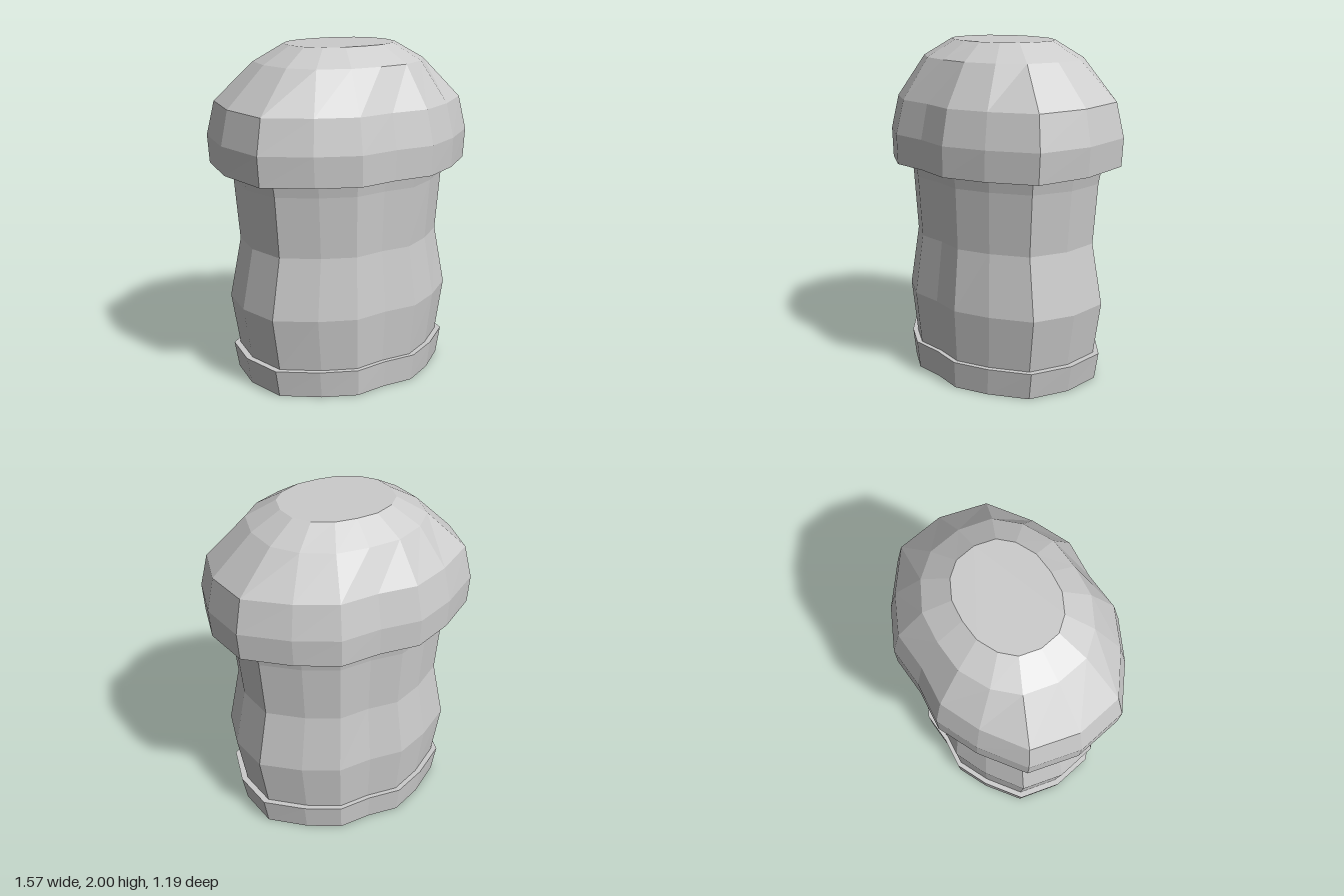
import * as THREE from 'three';

// One quadrant of the unit outline: squarish for the walls, rounder near the crown
const WALL = [[1, 0], [0.924, 0.505], [0.612, 0.81], [0.306, 1], [0, 0.97]];
const CROWN = [[1, 0], [0.93, 0.45], [0.715, 0.75], [0.375, 0.96], [0, 1]];

// Mirror a quadrant into a closed 16-sided outline
function outline(q) {
  const pts = [];
  for (let i = 0; i < 16; i++) {
    const k = i % 8 <= 4 ? i % 8 : 8 - (i % 8);
    const sx = i <= 4 || i >= 12 ? 1 : -1;
    const sz = i < 8 ? 1 : -1;
    pts.push([q[k][0] * sx, q[k][1] * sz]);
  }
  return pts;
}

// Loft rings of { y, x, z, round, tilt } from bottom to top; tilt lifts the back edge
function loft(name, rings, closeBottom, closeTop) {
  const wall = outline(WALL), crown = outline(CROWN);
  const pos = [], idx = [], n = 16;
  for (const { y, x, z, round = 0, tilt = 0 } of rings) {
    for (let i = 0; i < n; i++) {
      const px = x * THREE.MathUtils.lerp(wall[i][0], crown[i][0], round);
      const pz = z * THREE.MathUtils.lerp(wall[i][1], crown[i][1], round);
      pos.push(px, y + tilt * THREE.MathUtils.clamp((0.3 - pz) / 0.6, 0, 1), pz);
    }
  }
  for (let r = 0; r < rings.length - 1; r++) {
    for (let i = 0; i < n; i++) {
      const a = r * n + i, b = r * n + (i + 1) % n;
      idx.push(a, a + n, b, b, a + n, b + n);
    }
  }
  const last = (rings.length - 1) * n;
  for (let i = 1; i < n - 1; i++) {
    if (closeBottom) idx.push(0, i, i + 1);
    if (closeTop) idx.push(last, last + i + 1, last + i);
  }
  const indexed = new THREE.BufferGeometry();
  indexed.setAttribute('position', new THREE.Float32BufferAttribute(pos, 3));
  indexed.setIndex(idx);
  const geo = indexed.toNonIndexed();
  geo.computeVertexNormals();
  const mesh = new THREE.Mesh(geo, new THREE.MeshStandardMaterial({
    color: 0xcccccc, flatShading: true, side: THREE.DoubleSide,
  }));
  mesh.name = name;
  return mesh;
}

export function createModel() {
  const model = new THREE.Group();
  model.name = 'post';

  // Foot band with a narrow ledge on top
  model.add(loft('base', [
    { y: 0, x: 0.63, z: 0.495 },
    { y: 0.163, x: 0.66, z: 0.508 },
    { y: 0.163, x: 0.615, z: 0.475 },
  ], true, false));

  // Waisted shaft, running up inside the cap
  model.add(loft('shaft', [
    { y: 0.163, x: 0.622, z: 0.48 },
    { y: 0.48, x: 0.675, z: 0.505 },
    { y: 0.84, x: 0.605, z: 0.462 },
    { y: 1.2, x: 0.637, z: 0.48 },
    { y: 1.46, x: 0.69, z: 0.52 },
  ], false, false));

  // Overhanging domed cap with a flat top and an open underside
  model.add(loft('cap', [
    { y: 1.285, x: 0.772, z: 0.592, tilt: 0.03 },
    { y: 1.46, x: 0.785, z: 0.595, tilt: 0.02 },
    { y: 1.66, x: 0.742, z: 0.55, tilt: 0.02 },
    { y: 1.9, x: 0.507, z: 0.42, round: 0.9 },
    { y: 2, x: 0.335, z: 0.266, round: 1 },
  ], false, true));

  return model;
}
